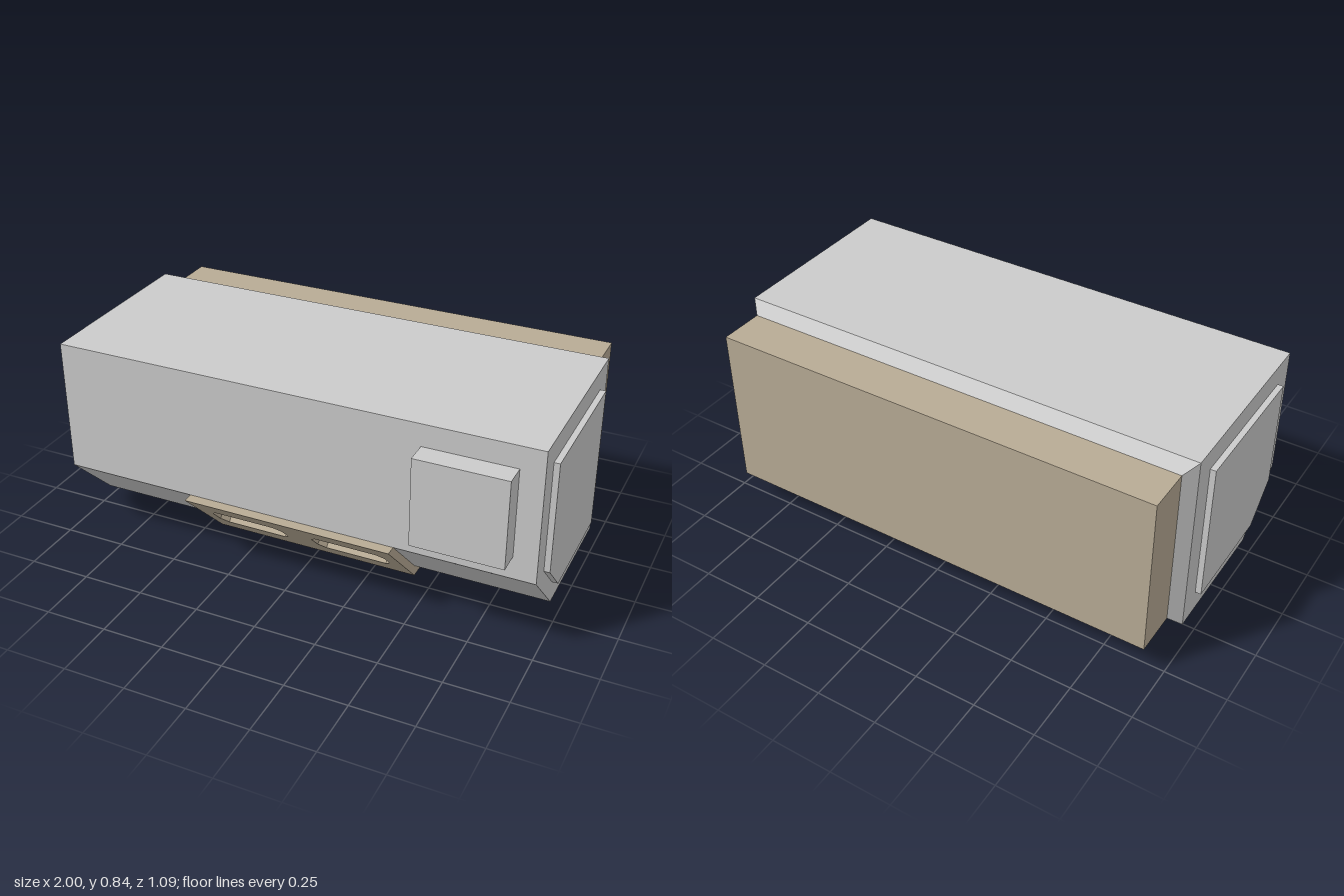
import * as THREE from 'three';

const grey = new THREE.MeshStandardMaterial({ color: 0xcccccc, flatShading: true });
const tan = new THREE.MeshStandardMaterial({ color: 0xb8ab95, flatShading: true });

export function createModel() {
  const group = new THREE.Group();

  const add = (name, geometry, material = grey) => {
    const mesh = new THREE.Mesh(geometry, material);
    mesh.name = name;
    group.add(mesh);
    return mesh;
  };

  // Box given by its minimum and maximum on each axis
  const box = (name, [x0, x1], [y0, y1], [z0, z1], material) =>
    add(name, new THREE.BoxGeometry(x1 - x0, y1 - y0, z1 - z0), material)
      .position.set((x0 + x1) / 2, (y0 + y1) / 2, (z0 + z1) / 2);

  // Side profile of [z, y] points extruded along x
  const sideExtrude = (points, x0, x1) => {
    const shape = new THREE.Shape(points.map(([z, y]) => new THREE.Vector2(-z, y)));
    return new THREE.ExtrudeGeometry(shape, { depth: x1 - x0, bevelEnabled: false })
      .rotateY(Math.PI / 2).translate(x0, 0, 0);
  };

  // Sloped sheet with two chamfered slots, in the plane of the front slope
  const slopeLength = 0.3217, slotLow = 0.089, slotHigh = 0.237, slotIn = 0.065, slotOut = 0.37;
  const slottedShape = (halfWidth) => {
    const rect = [[-halfWidth, 0], [halfWidth, 0], [halfWidth, slopeLength], [-halfWidth, slopeLength]];
    const shape = new THREE.Shape(rect.map(([x, y]) => new THREE.Vector2(x, y)));
    const cx = 0.026, cy = 0.034;
    for (const side of [-1, 1]) {
      const slot = [
        [slotIn + cx, slotLow], [slotOut - cx, slotLow], [slotOut, slotLow + cy], [slotOut, slotHigh - cy],
        [slotOut - cx, slotHigh], [slotIn + cx, slotHigh], [slotIn, slotHigh - cy], [slotIn, slotLow + cy],
      ];
      shape.holes.push(new THREE.Path(slot.map(([x, y]) => new THREE.Vector2(side * x, y))));
    }
    return shape;
  };
  const onSlope = (geometry) => geometry.rotateX(Math.PI / 4).translate(0, 0.07, 0.2275);

  // Housing: rectangular sections from front to back, the front slope left open
  const rings = [
    [0.977, 0.2975, 0.84, 0.455], [0.977, 0.07, 0.84, 0.2275],
    [0.977, 0.07, 0.84, -0.317], [0.932, 0.117, 0.797, -0.362],
  ].map(([w, y0, y1, z]) => [[-w, y0, z], [w, y0, z], [w, y1, z], [-w, y1, z]]);
  const positions = [];
  const quad = (a, b, c, d) => positions.push(...a, ...b, ...c, ...a, ...c, ...d);
  quad(...rings[0]);
  quad(...[...rings[3]].reverse());
  for (let i = 0; i < 3; i++) {
    for (let k = 0; k < 4; k++) {
      if (i === 0 && k === 0) continue;
      const n = (k + 1) % 4;
      quad(rings[i][k], rings[i + 1][k], rings[i + 1][n], rings[i][n]);
    }
  }
  const housing = new THREE.BufferGeometry();
  housing.setAttribute('position', new THREE.Float32BufferAttribute(positions, 3));
  housing.computeVertexNormals();
  add('housing', housing);
  add('housingSlope', onSlope(new THREE.ShapeGeometry(slottedShape(0.977))));

  // Recesses behind the slots, turned inside out so their inner walls show
  const k = Math.SQRT1_2;
  const low = [0.2275 + slotLow * k, 0.07 + slotLow * k];
  const high = [0.2275 + slotHigh * k, 0.07 + slotHigh * k];
  for (const side of [-1, 1]) {
    const half = (slotOut - slotIn) / 2;
    const recess = sideExtrude([low, high, [low[0], high[1]]], -half, half).scale(-1, 1, 1);
    recess.computeVertexNormals();
    add('slotRecess', recess).position.x = side * (slotIn + slotOut) / 2;
  }

  // Raised panels on both ends
  const panel = [[0.365, 0.75], [-0.225, 0.75], [-0.225, 0.16], [0.2275, 0.16], [0.365, 0.2975]];
  add('leftEndPanel', sideExtrude(panel, 0.977, 1));
  add('rightEndPanel', sideExtrude(panel, -1, -0.977));

  // Back block and front box
  box('backBlock', [-0.932, 0.932], [0.117, 0.797], [-0.545, -0.362], tan);
  box('frontBox', [0.525, 0.885], [0.39, 0.75], [0.455, 0.545]);

  // Belly guard: slotted front plate with mitred ends, then the bottom plate
  const thickness = 0.032;
  const plate = new THREE.ExtrudeGeometry(slottedShape(0.43), { depth: thickness, bevelEnabled: false });
  const p = plate.attributes.position;
  for (let i = 0; i < p.count; i++) {
    if (p.getZ(i) < thickness / 2) continue;
    if (p.getY(i) < 0.001) p.setY(i, -thickness);
    else if (p.getY(i) > slopeLength - 0.001) p.setY(i, slopeLength + thickness);
  }
  plate.computeVertexNormals();
  add('guardFront', onSlope(plate), tan);
  add('guardBottom', sideExtrude([
    [0.2275, 0.07], [-0.317, 0.07], [-0.362, 0.117], [-0.362, 0.07], [-0.317, 0.025], [0.2275, 0.025],
  ], -0.43, 0.43), tan);

  // Thin rails under the guard
  for (const x of [-0.057, 0.057]) box('bottomRail', [x - 0.011, x + 0.011], [0, 0.027], [-0.18, 0.09]);

  return group;
}
